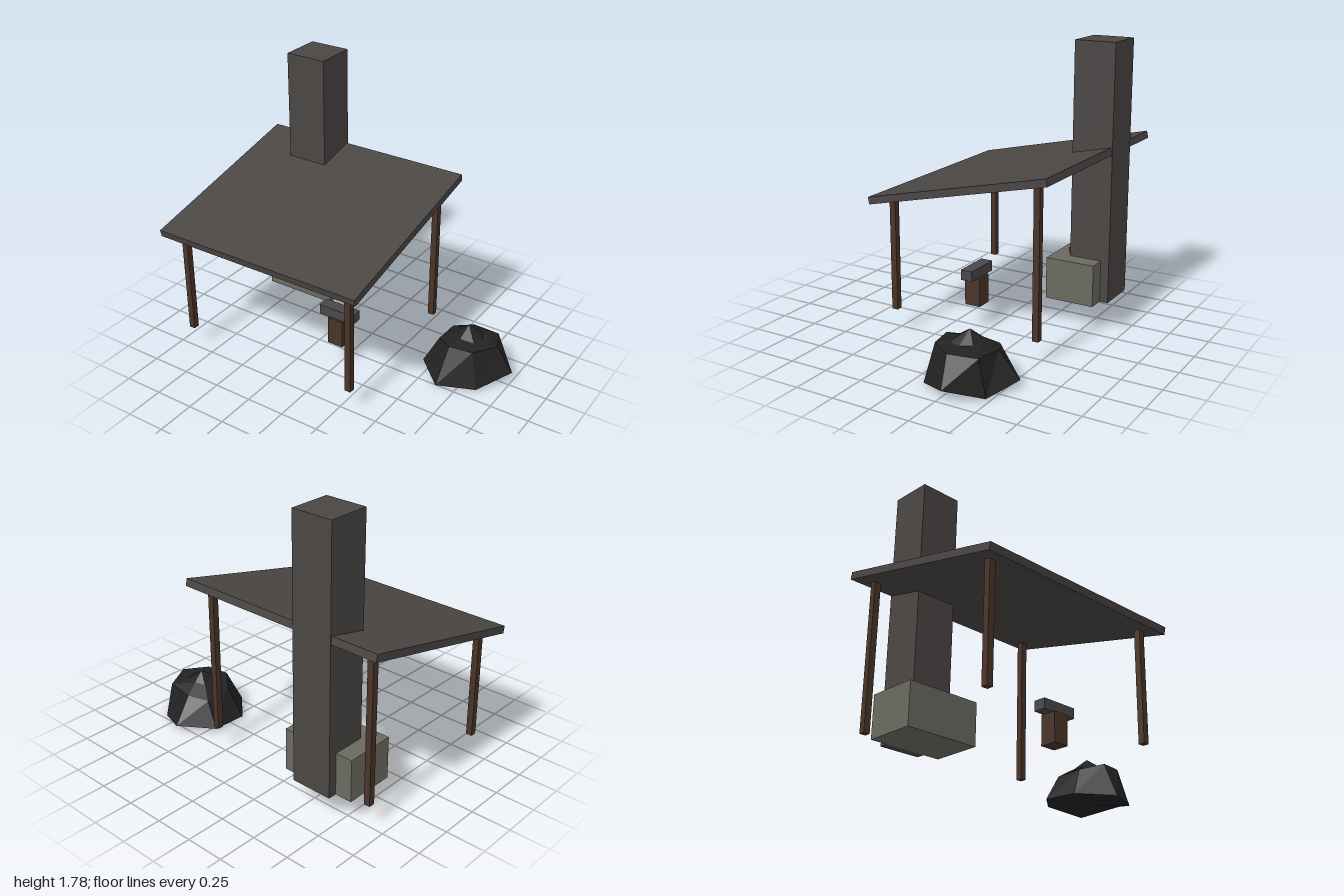
import * as THREE from 'three';

const mat = (name, color) => {
  const m = new THREE.MeshStandardMaterial({ color });
  m.name = name;
  return m;
};

export function createModel() {
  const model = new THREE.Group();
  model.name = 'forgeShelter';
  const slate = mat('darkSlate', 0x4a4644);
  const wood = mat('darkWood', 0x4a3428);
  const stone = mat('greyStone', 0x6b6a60);
  const iron = mat('iron', 0x48484a);
  const coal = mat('coal', 0x222222);

  const add = (name, geometry, material, x = 0, y = 0, z = 0) => {
    const mesh = new THREE.Mesh(geometry, material);
    mesh.name = name;
    mesh.position.set(x, y, z);
    model.add(mesh);
    return mesh;
  };
  // Box given by its extents on each axis
  const block = (name, material, [x0, x1], [y0, y1], [z0, z1]) =>
    add(name, new THREE.BoxGeometry(x1 - x0, y1 - y0, z1 - z0), material,
      (x0 + x1) / 2, (y0 + y1) / 2, (z0 + z1) / 2);

  const floor = 0.145;

  // Sloping roof, high at the back
  const roof = add('roof', new THREE.BoxGeometry(1.42, 0.046, 1.23), slate, -0.29, 0.988, 0);
  roof.rotation.x = 0.225;

  // Four posts, taller at the back
  for (const x of [-0.895, 0.31]) {
    block('frontPost', wood, [x - 0.02, x + 0.02], [floor, 0.86], [0.47, 0.51]);
    block('backPost', wood, [x - 0.02, x + 0.02], [floor, 1.08], [-0.515, -0.475]);
  }

  // Hearth, chimney and ember pile
  block('hearth', stone, [-0.81, -0.32], [floor, 0.415], [-0.55, -0.225]);
  block('chimney', slate, [-0.7, -0.43], [floor, 1.785], [-0.605, -0.338]);
  const embers = new THREE.ConeGeometry(0.125, 0.085, 6).toNonIndexed();
  embers.computeVertexNormals();
  add('emberPile', embers, wood, -0.565, 0.457, -0.385);

  // Anvil on its stump
  block('anvilStump', wood, [-0.07, 0.036], [floor, 0.332], [0.054, 0.16]);
  block('anvil', iron, [-0.14, 0.106], [0.331, 0.396], [0.068, 0.147]);

  // Faceted coal heap from three rings, a peak and a base
  const rings = [
    [[0.44, 0.02, -0.165], [0.63, 0.01, 0.015], [0.86, 0.01, -0.08], [1, 0.07, -0.285],
      [0.84, 0, -0.47], [0.63, 0.05, -0.567], [0.44, 0.03, -0.4]],
    [[0.53, 0.2, -0.2], [0.65, 0.24, -0.1], [0.8, 0.24, -0.12], [0.9, 0.24, -0.26],
      [0.83, 0.22, -0.42], [0.65, 0.21, -0.44], [0.53, 0.19, -0.38]],
    [[0.62, 0.25, -0.24], [0.68, 0.255, -0.19], [0.77, 0.25, -0.2], [0.79, 0.245, -0.27],
      [0.76, 0.25, -0.34], [0.68, 0.26, -0.35], [0.62, 0.25, -0.32]],
  ];
  const peak = [0.69, 0.315, -0.28], base = [0.7, 0.012, -0.27];
  const points = [];
  const tri = (a, b, c) => points.push(...a, ...b, ...c);
  for (let i = 0; i < 7; i++) {
    const j = (i + 1) % 7;
    for (let r = 0; r < 2; r++) {
      const low = rings[r], high = rings[r + 1];
      tri(low[i], low[j], high[j]);
      tri(low[i], high[j], high[i]);
    }
    tri(rings[2][i], rings[2][j], peak);
    tri(rings[0][j], rings[0][i], base);
  }
  const heap = new THREE.BufferGeometry();
  heap.setAttribute('position', new THREE.Float32BufferAttribute(points, 3));
  heap.computeVertexNormals();
  add('coalHeap', heap, coal);

  return model;
}
